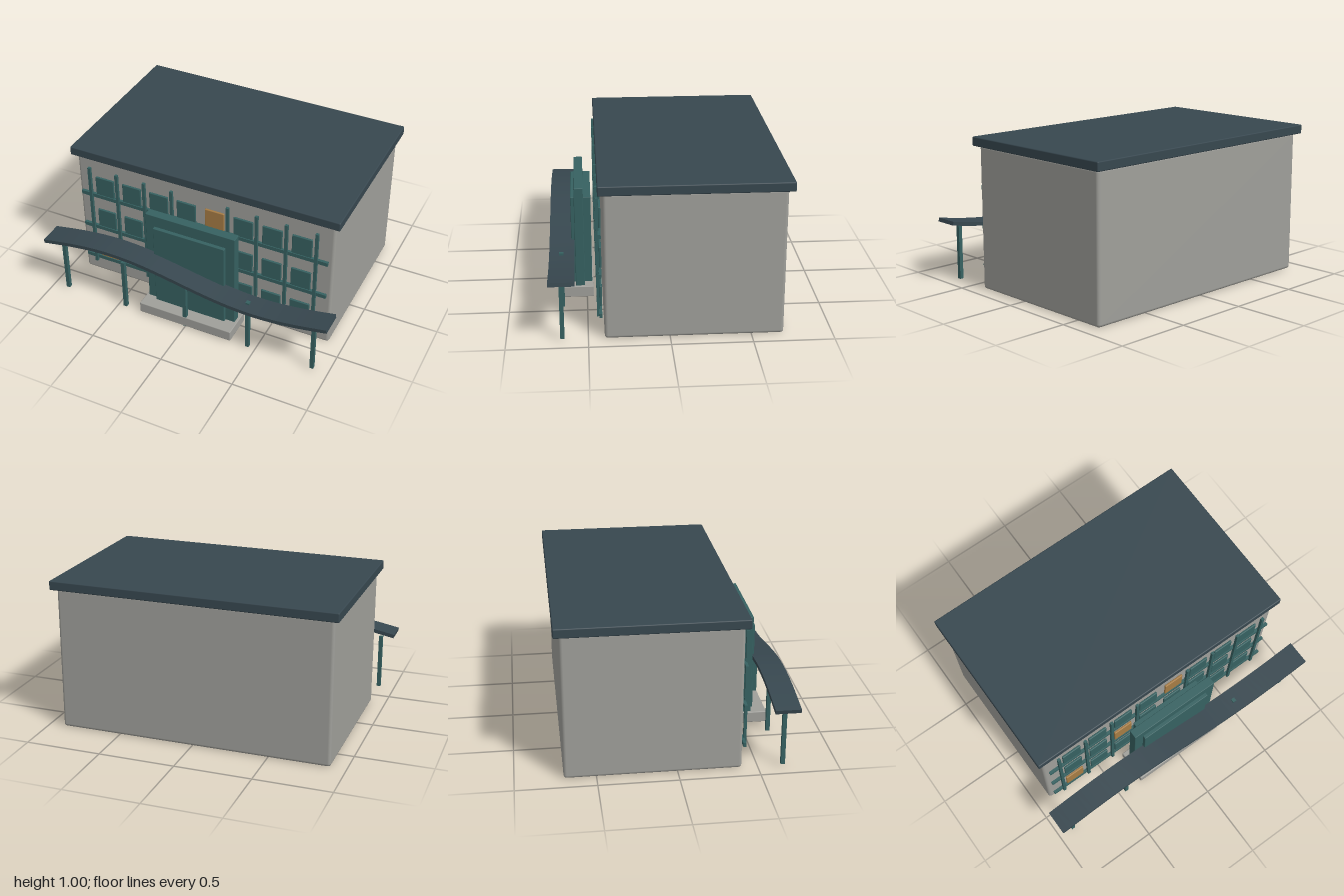
import * as THREE from 'three';
import { RoundedBoxGeometry } from 'three/addons/geometries/RoundedBoxGeometry.js';

const material = (name, color) => {
  const m = new THREE.MeshStandardMaterial({ color });
  m.name = name;
  return m;
};

export function createModel() {
  const wall = material('pale concrete', 0x9f9f9a);
  const slate = material('dark slate', 0x37474f);
  const teal = material('deep teal', 0x366161);
  const amber = material('lit amber', 0xa67c44);

  const model = new THREE.Group();
  model.name = 'building';

  // Box given by its min and max on each axis, with optional rounded edges
  const block = (name, mat, [x0, x1], [y0, y1], [z0, z1], radius = 0, parent = model) => {
    const size = [x1 - x0, y1 - y0, z1 - z0];
    const geometry = radius
      ? new RoundedBoxGeometry(...size, 2, radius)
      : new THREE.BoxGeometry(...size);
    const mesh = new THREE.Mesh(geometry, mat);
    mesh.position.set((x0 + x1) / 2, (y0 + y1) / 2, (z0 + z1) / 2);
    mesh.name = name;
    parent.add(mesh);
    return mesh;
  };
  const group = (name) => {
    const g = new THREE.Group();
    g.name = name;
    model.add(g);
    return g;
  };

  // Main volume and overhanging roof slab
  block('mainBody', wall, [-0.9, 0.9], [0, 0.945], [-0.7, 0.4], 0.02);
  block('roof', slate, [-0.933, 0.933], [0.94, 1], [-0.735, 0.43], 0.007);

  // Windows, one lit in each row
  const windows = group('windows');
  const columns = [-0.695, -0.496, -0.298, -0.1, 0.1, 0.298, 0.496, 0.695];
  const litColumn = [0, 2, 4];
  for (let row = 0; row < 3; row++) {
    const y = 0.15 + row * 0.26;
    columns.forEach((x, i) => {
      const mat = i === litColumn[row] ? amber : teal;
      block('window', mat, [x - 0.067, x + 0.067], [y, y + 0.14], [0.41, 0.425], 0.005, windows);
    });
  }

  // Lattice of rails and mullions in front of the windows
  const lattice = group('facadeLattice');
  for (const y of [0.142, 0.402, 0.662])
    block('rail', teal, [-0.87, 0.87], [y - 0.013, y + 0.013], [0.412, 0.431], 0, lattice);
  for (const x of [0.197, 0.395, 0.595, 0.795])
    for (const side of [-1, 1])
      block('mullion', teal, [side * x - 0.01, side * x + 0.01], [0.107, 0.88], [0.425, 0.443], 0, lattice);

  // Entrance portal on its step
  const entrance = group('entrance');
  block('step', wall, [-0.33, 0.33], [0.012, 0.087], [0.456, 0.674], 0.006, entrance);
  block('portalFrame', teal, [-0.313, 0.313], [0.08, 0.762], [0.513, 0.572], 0.004, entrance);
  block('portalDoor', teal, [-0.25, 0.25], [0.08, 0.68], [0.465, 0.595], 0.004, entrance);

  // Wavy canopy: a ribbon of even thickness along a sine curve
  const top = [], bottom = [];
  for (let i = 0; i <= 48; i++) {
    const x = -0.997 + (1.994 * i) / 48;
    const y = 0.418 - 0.062 * Math.sin(Math.PI * x);
    const slope = -0.062 * Math.PI * Math.cos(Math.PI * x);
    const n = new THREE.Vector2(-slope, 1).setLength(0.0125);
    top.push(new THREE.Vector2(x + n.x, y + n.y));
    bottom.push(new THREE.Vector2(x - n.x, y - n.y));
  }
  const canopy = new THREE.Mesh(
    new THREE.ExtrudeGeometry(new THREE.Shape([...bottom, ...top.reverse()]), {
      depth: 0.16, bevelEnabled: false,
    }),
    slate
  );
  canopy.position.z = 0.575;
  canopy.name = 'canopy';
  model.add(canopy);

  // Slim posts carrying the canopy
  const posts = group('canopyPosts');
  for (let i = -2; i <= 2; i++) {
    const x = i * 0.446;
    block('post', teal, [x - 0.0125, x + 0.0125], [0.01, 0.382], [0.645, 0.671], 0, posts);
  }

  return model;
}
